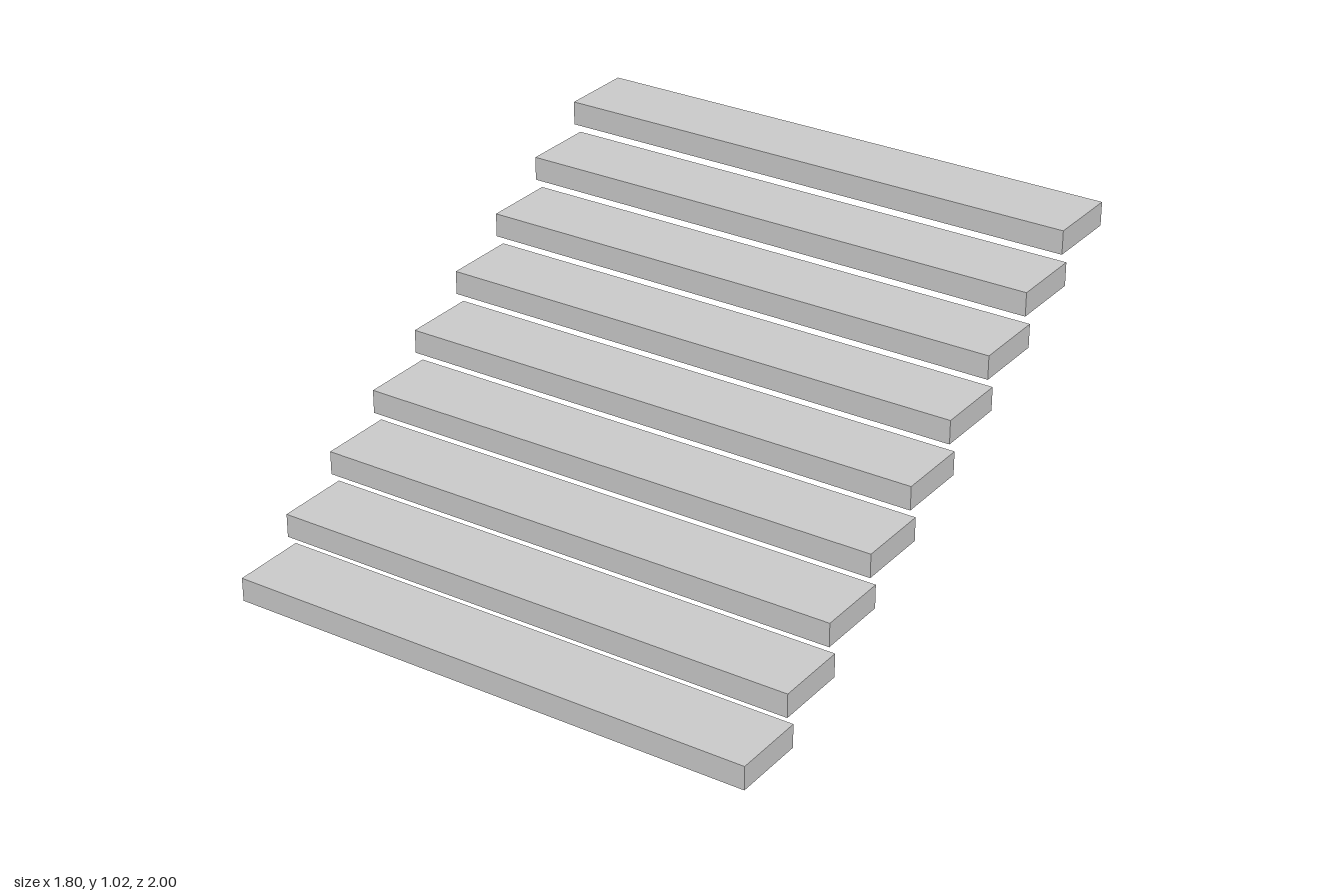
import * as THREE from 'three';

const STEPS = 9;
const WIDTH = 1.797, THICKNESS = 0.079, DEPTH = 0.252;
const TOTAL_HEIGHT = 1.019, TOTAL_DEPTH = 2;

export function createModel() {
  const stairs = new THREE.Group();
  stairs.name = 'floatingStairs';

  const material = new THREE.MeshStandardMaterial({ color: 0xcccccc, flatShading: true });
  const treadGeometry = new THREE.BoxGeometry(WIDTH, THICKNESS, DEPTH);
  const rise = (TOTAL_HEIGHT - THICKNESS) / (STEPS - 1);
  const run = (TOTAL_DEPTH - DEPTH) / (STEPS - 1);

  // Separate treads climbing from the front to the back
  for (let i = 0; i < STEPS; i++) {
    const tread = new THREE.Mesh(treadGeometry, material);
    tread.name = `tread${i + 1}`;
    tread.position.set(0, THICKNESS / 2 + i * rise, (TOTAL_DEPTH - DEPTH) / 2 - i * run);
    stairs.add(tread);
  }
  return stairs;
}
